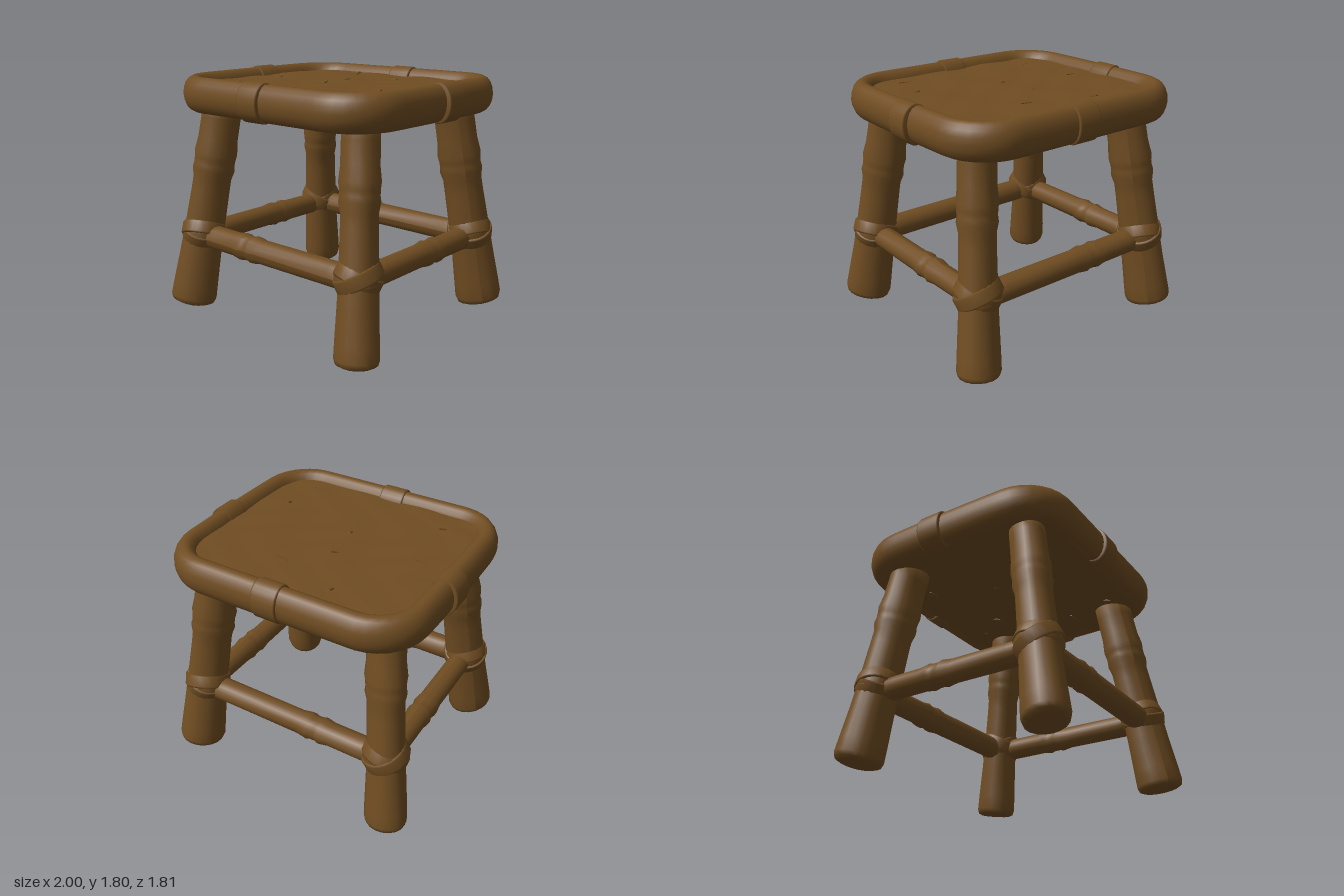
import * as THREE from 'three';

const wood = new THREE.MeshStandardMaterial({ color: 0x704d22 });
wood.name = 'bamboo brown';
const UP = new THREE.Vector3(0, 1, 0);

function part(name, geometry, parent) {
  const m = new THREE.Mesh(geometry, wood);
  m.name = name;
  parent.add(m);
  return m;
}

// Turned solid from [radius, height] pairs, listed bottom to top
function turned(profile, sides = 18) {
  return new THREE.LatheGeometry(profile.map(([r, y]) => new THREE.Vector2(r, y)), sides);
}

// Gently irregular cane: shifts the surface a little by angle and height
function weather(geo, amount, phase) {
  const p = geo.attributes.position;
  for (let i = 0; i < p.count; i++) {
    const a = Math.atan2(p.getZ(i), p.getX(i));
    const k = 1 + amount * Math.sin(3 * a + 5 * p.getY(i) + phase);
    p.setX(i, p.getX(i) * k);
    p.setZ(i, p.getZ(i) * k);
  }
  geo.computeVertexNormals();
  return geo;
}

// Flat binding strap with closed, slightly rounded edges
function strap(outer, inner, width) {
  const h = width / 2;
  return turned([[inner, -h], [outer - 0.008, -h], [outer, -h + 0.012],
    [outer, h - 0.012], [outer - 0.008, h], [inner, h]], 24);
}

// Oval section swept round a rounded rectangle with slightly bowed sides
function rimGeometry(hx, hz, r, w, h) {
  const s = new THREE.Shape();
  const H = Math.PI / 2;
  s.absarc(hx - r, hz - r, r, 0, H);
  s.absarc(-hx + r, hz - r, r, H, 2 * H);
  s.absarc(-hx + r, -hz + r, r, 2 * H, 3 * H);
  s.absarc(hx - r, -hz + r, r, 3 * H, 4 * H);
  s.closePath();
  const path = s.getSpacedPoints(100).slice(0, 100);
  for (const p of path) p.set(p.x * (1 - 0.02 * (p.y / hz) ** 2), p.y);
  const n = path.length, sides = 18, pos = [], idx = [];
  path.forEach((p, i) => {
    const t = path[(i + 1) % n].clone().sub(path[(i + n - 1) % n]).normalize();
    for (let j = 0; j < sides; j++) {
      const a = (j / sides) * Math.PI * 2;
      const o = w * Math.cos(a);
      pos.push(p.x + t.y * o, h * Math.sin(a), p.y - t.x * o);
      const k = (j + 1) % sides, u = ((i + 1) % n) * sides, v = i * sides;
      idx.push(v + j, v + k, u + j, v + k, u + k, u + j);
    }
  });
  const g = new THREE.BufferGeometry();
  g.setAttribute('position', new THREE.Float32BufferAttribute(pos, 3));
  g.setIndex(idx);
  g.computeVertexNormals();
  return g;
}

// Woven panel with rounded corners and a faint uneven surface
function seatGeometry(hx, hz, r, thickness) {
  const g = new THREE.BoxGeometry(2 * hx, thickness, 2 * hz, 30, 1, 30);
  const p = g.attributes.position;
  for (let i = 0; i < p.count; i++) {
    const x = p.getX(i), z = p.getZ(i);
    const dx = Math.abs(x) - hx + r, dz = Math.abs(z) - hz + r;
    if (dx > 0 && dz > 0) {
      const k = Math.max(dx, dz) / Math.hypot(dx, dz);
      p.setX(i, Math.sign(x) * (hx - r + dx * k));
      p.setZ(i, Math.sign(z) * (hz - r + dz * k));
    }
    const bump = Math.sin(13 * x + 2 * Math.sin(5 * z)) * Math.sin(12 * z + 1.5 * x);
    p.setY(i, p.getY(i) + 0.005 * bump);
  }
  g.computeVertexNormals();
  return g;
}

export function createModel() {
  const model = new THREE.Group();
  model.name = 'bambooStool';

  // Seat and its bent cane rim
  const seat = new THREE.Group();
  seat.name = 'seat';
  seat.position.set(-0.005, 1.66, -0.028);
  model.add(seat);
  part('rim', rimGeometry(0.885, 0.785, 0.29, 0.086, 0.13), seat);
  part('wovenPanel', seatGeometry(0.86, 0.77, 0.28, 0.19), seat).position.y = -0.023;

  // Lifted strand ends scattered over both faces of the weave
  for (let i = 0; i < 16; i++) {
    const top = i % 2 === 0;
    const strand = part('looseStrand', new THREE.BoxGeometry(0.09, 0.008, 0.02), seat);
    strand.position.set(0.62 * Math.sin(i * 2.4 + 1), top ? 0.073 : -0.119, 0.58 * Math.cos(i * 1.7));
    strand.rotation.set(0.25, (i % 3) * 0.8, 0.08);
  }

  // Bindings at the middle of each rim side
  const bindings = [
    ['front', -0.03, 0.79, 0], ['back', 0.03, -0.782, 0],
    ['right', -0.89, -0.1, 1], ['left', 0.897, -0.08, 1],
  ];
  for (const [side, x, z, along] of bindings) {
    const b = part(side + 'RimBinding', strap(0.14, 0.08, 0.19), seat);
    b.position.set(x, 0, z);
    b.rotation.set(along ? Math.PI / 2 : 0, 0, along ? 0 : Math.PI / 2);
    // local axis that crosses the rim sideways is narrower
    b.scale.set(along ? 0.75 : 1, 1, along ? 1 : 0.75);
  }

  // Splayed legs with a swollen joint, and crossed lashings
  const legProfile = [[0, 0], [0.125, 0], [0.156, 0.015], [0.167, 0.05], [0.163, 0.15],
    [0.151, 0.4], [0.144, 0.65], [0.138, 0.9], [0.137, 1.0], [0.152, 1.07], [0.146, 1.11],
    [0.147, 1.15], [0.154, 1.2], [0.142, 1.3], [0.14, 1.47], [0.14, 1.6], [0, 1.6]];
  const legPoint = (sx, sz, y) => {
    const t = (y - 0.03) / 1.5;
    return new THREE.Vector3(sx * (0.838 - 0.165 * t), y,
      sz > 0 ? 0.745 - 0.227 * t : -0.76 + 0.21 * t);
  };
  for (const sx of [-1, 1]) for (const sz of [-1, 1]) {
    const leg = new THREE.Group();
    leg.name = (sz > 0 ? 'front' : 'back') + (sx > 0 ? 'Left' : 'Right') + 'Leg';
    const foot = legPoint(sx, sz, sz > 0 ? 0.022 : 0.03);
    leg.position.copy(foot);
    const axis = legPoint(sx, sz, 1.53).sub(foot).normalize();
    leg.quaternion.setFromUnitVectors(UP, axis);
    model.add(leg);
    // cane is slightly oval, longer towards the corner
    const cane = part('legCane', weather(turned(legProfile), 0.012, sx + 2 * sz), leg);
    cane.rotation.y = Math.atan2(-sz, sx);
    cane.scale.set(1.05, 1, 0.92);
    const outward = new THREE.Vector3(sx, 0, sz).normalize();
    for (const [tilt, y, r] of [[0.45, 0.58, 0.17], [-0.45, 0.58, 0.165], [0.08, 0.57, 0.16]]) {
      const l = part('lashing', strap(r, 0.12, 0.1), leg);
      l.position.y = y;
      l.quaternion.setFromAxisAngle(outward, tilt);
    }
  }

  // Stretchers between neighbouring legs, each with one cane joint
  const stretchers = [
    ['frontStretcher', [-1, 1], [1, 1], 0.35, 0.09], ['backStretcher', [1, -1], [-1, -1], 0.64, 0.088],
    ['leftStretcher', [1, 1], [1, -1], 0.59, 0.084], ['rightStretcher', [-1, 1], [-1, -1], 0.59, 0.084],
  ];
  for (const [name, a, b, joint, r] of stretchers) {
    const p = legPoint(a[0], a[1], 0.565), q = legPoint(b[0], b[1], 0.565);
    const len = p.distanceTo(q), j = len * joint;
    const geo = turned([[0, 0], [r, 0], [r, 0.2], [r, j - 0.14], [r + 0.012, j - 0.06],
      [r + 0.003, j - 0.03], [r + 0.003, j + 0.02], [r + 0.012, j + 0.05], [r, j + 0.12],
      [r, len - 0.2], [r, len], [0, len]], 14);
    const s = part(name, weather(geo, 0.02, joint * 9), model);
    s.position.copy(p);
    s.quaternion.setFromUnitVectors(UP, q.sub(p).normalize());
  }
  return model;
}
